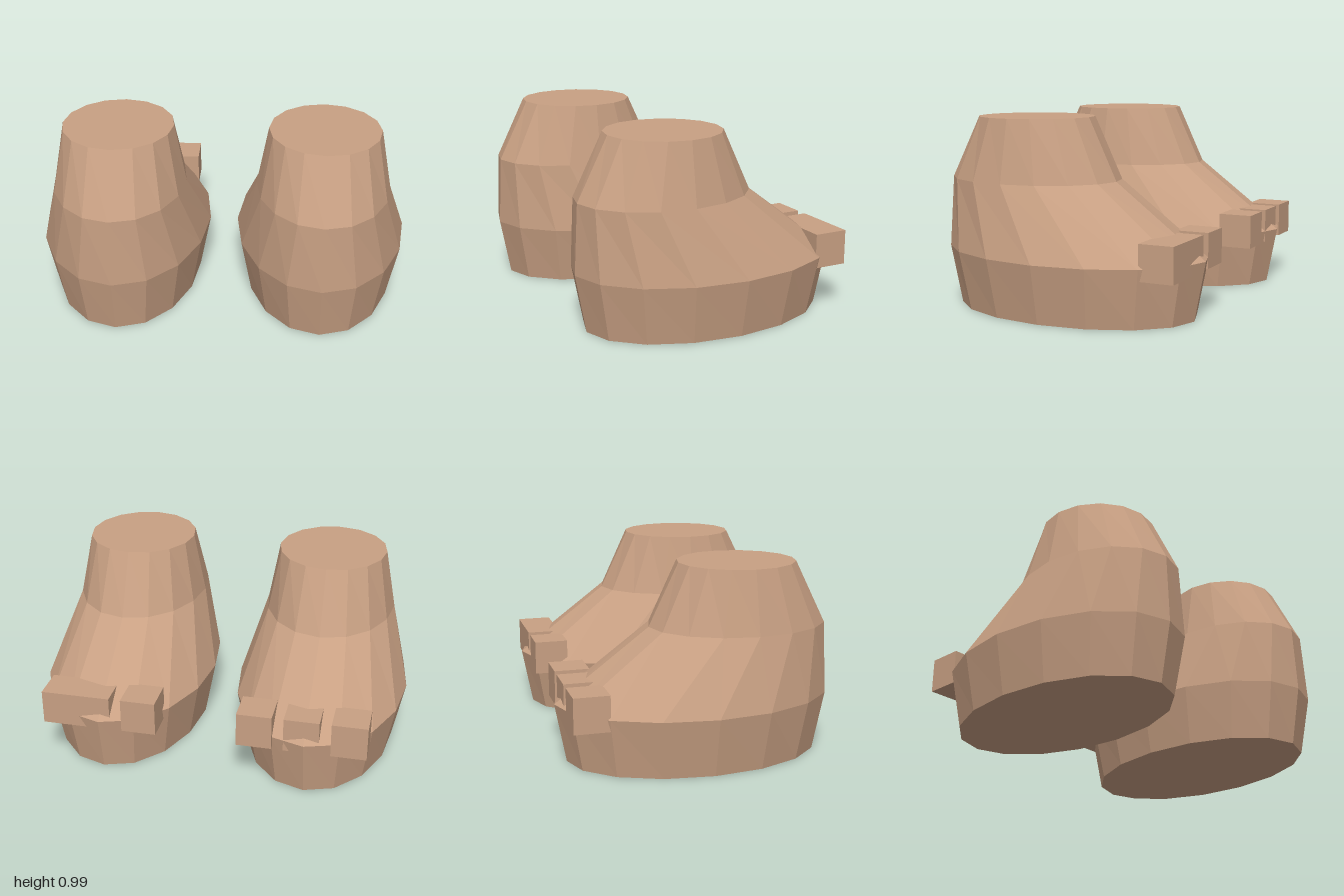
import * as THREE from 'three';

const SIDES = 16;

// Elliptical cross-sections of a foot, from sole to ankle
const RINGS = [
  { y: 0, z: 0, rx: 0.402, rz: 0.66 },
  { y: 0.305, z: 0, rx: 0.462, rz: 0.718 },
  { y: 0.67, z: 0.235, rx: 0.352, rz: 0.465 },
  { y: 0.99, z: 0.23, rx: 0.292, rz: 0.305 },
];

// Faceted foot: rings joined by triangles, closed at sole and ankle
function footGeometry() {
  const positions = [];
  const point = (ring, i) => {
    const a = ((i % SIDES) / SIDES) * Math.PI * 2;
    return [Math.sin(a) * ring.rx, ring.y, ring.z + Math.cos(a) * ring.rz];
  };
  const tri = (a, b, c) => positions.push(...a, ...b, ...c);
  const sole = RINGS[0];
  const ankle = RINGS[RINGS.length - 1];
  for (let i = 0; i < SIDES; i++) {
    for (let r = 0; r < RINGS.length - 1; r++) {
      const a = point(RINGS[r], i);
      const b = point(RINGS[r], i + 1);
      const c = point(RINGS[r + 1], i + 1);
      const d = point(RINGS[r + 1], i);
      tri(a, b, d);
      tri(b, c, d);
    }
    tri([0, sole.y, sole.z], point(sole, i + 1), point(sole, i));
    tri([0, ankle.y, ankle.z], point(ankle, i), point(ankle, i + 1));
  }
  const geometry = new THREE.BufferGeometry();
  geometry.setAttribute('position', new THREE.Float32BufferAttribute(positions, 3));
  geometry.computeVertexNormals();
  return geometry;
}

export function createModel() {
  const skin = new THREE.MeshStandardMaterial({ color: 0xc8a083 });
  skin.name = 'skin';
  skin.flatShading = true;

  const model = new THREE.Group();
  model.name = 'feet';
  const foot = footGeometry();

  // Each foot with the x extents of the blocks behind it
  const feet = [
    { name: 'rightFoot', x: -0.538, blocks: [[-0.855, -0.672], [-0.612, -0.43], [-0.37, -0.187]] },
    { name: 'leftFoot', x: 0.538, blocks: [[0.24, 0.423], [0.485, 0.848]] },
  ];
  for (const { name, x, blocks } of feet) {
    const group = new THREE.Group();
    group.name = name;
    group.position.x = x;
    const body = new THREE.Mesh(foot, skin);
    body.name = 'footBody';
    group.add(body);
    // Toe blocks partly sunk into the rear slope
    for (const [x0, x1] of blocks) {
      const toe = new THREE.Mesh(new THREE.BoxGeometry(x1 - x0, 0.182, 0.182), skin);
      toe.name = 'toeBlock';
      toe.position.set((x0 + x1) / 2 - x, 0.336, -0.592);
      group.add(toe);
    }
    model.add(group);
  }
  return model;
}
